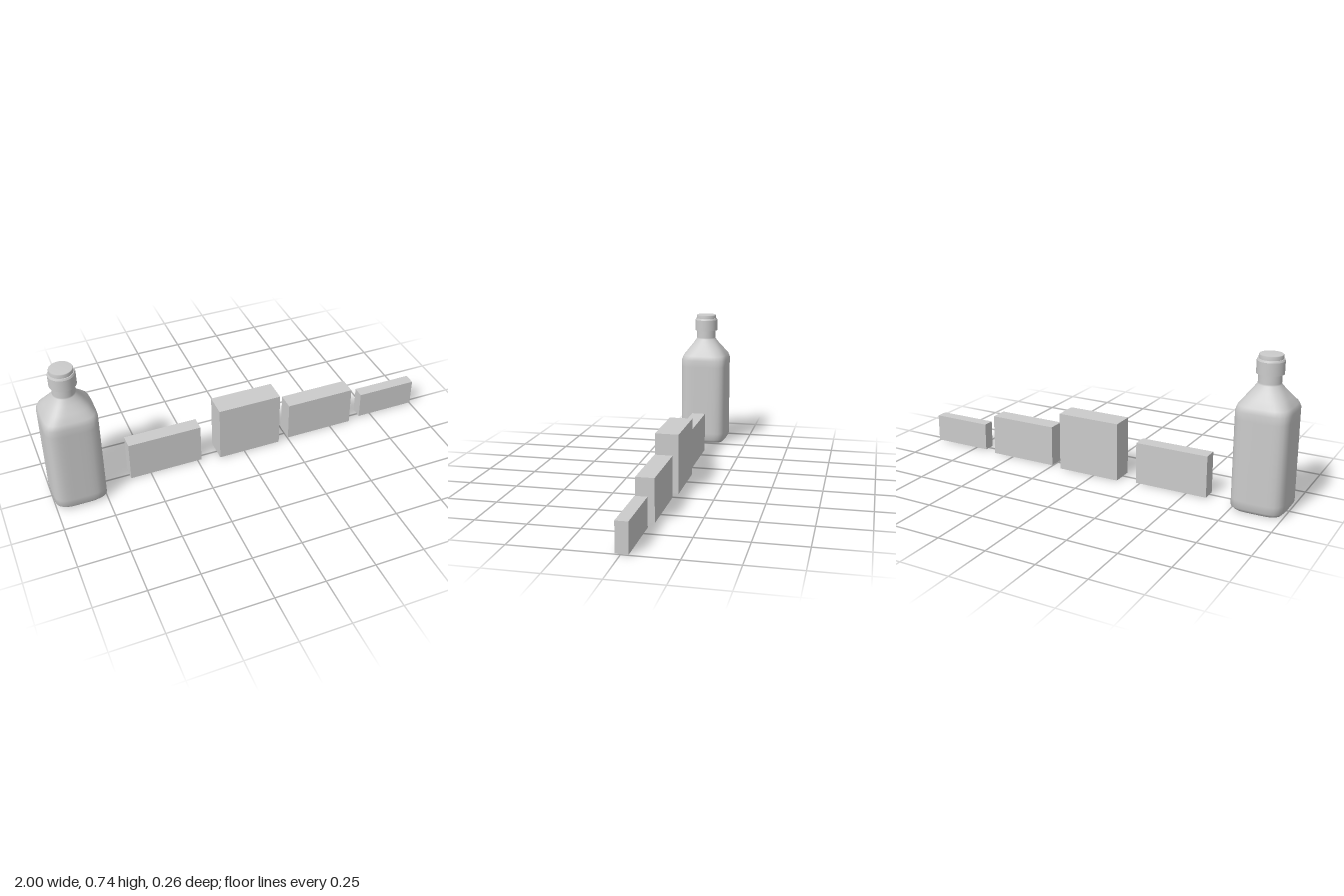
import * as THREE from 'three';

const grey = new THREE.MeshStandardMaterial({ color: 0xcccccc });
const SIDES = 48;

// Lofts rounded-square rings [y, halfWidth, exponent]; exponent 2 is a circle.
function loftRings(rings) {
  const pos = [], index = [];
  for (const [y, r, n] of rings) {
    for (let i = 0; i < SIDES; i++) {
      const a = (i / SIDES) * Math.PI * 2;
      const c = Math.cos(a), s = Math.sin(a);
      const d = r / Math.pow(Math.abs(c) ** n + Math.abs(s) ** n, 1 / n);
      pos.push(d * c, y, d * s);
    }
  }
  for (let k = 0; k < rings.length - 1; k++) {
    for (let i = 0; i < SIDES; i++) {
      const a = k * SIDES + i, b = k * SIDES + ((i + 1) % SIDES);
      index.push(a, a + SIDES, b, b, a + SIDES, b + SIDES);
    }
  }
  // Closed underside
  const centre = pos.length / 3;
  pos.push(0, rings[0][0], 0);
  for (let i = 0; i < SIDES; i++) index.push(centre, i, (i + 1) % SIDES);

  const g = new THREE.BufferGeometry();
  g.setAttribute('position', new THREE.Float32BufferAttribute(pos, 3));
  g.setIndex(index);
  g.computeVertexNormals();
  return g;
}

function lathe(points) {
  return new THREE.LatheGeometry(points.map(([r, y]) => new THREE.Vector2(r, y)), 40);
}

function addMesh(parent, name, geometry) {
  const m = new THREE.Mesh(geometry, grey);
  m.name = name;
  parent.add(m);
  return m;
}

function createBottle() {
  const bottle = new THREE.Group();
  bottle.name = 'bottle';

  // Square body with soft corners, narrowing to a round neck
  addMesh(bottle, 'bottleBody', loftRings([
    [0.004, 0.114, 4.6],
    [0.023, 0.13, 4.8],
    [0.06, 0.13, 4.8],
    [0.25, 0.13, 4.8],
    [0.45, 0.13, 4.8],
    [0.487, 0.13, 4.8],
    [0.512, 0.122, 4.2],
    [0.545, 0.097, 3.2],
    [0.575, 0.074, 2.5],
    [0.602, 0.055, 2],
    [0.61, 0.054, 2],
    [0.66, 0.054, 2],
  ]));

  // Cap collar, with sharp lower edge and a small bevel on top
  addMesh(bottle, 'capCollar', lathe([
    [0.05, 0.651], [0.064, 0.651], [0.064, 0.651], [0.064, 0.711],
    [0.064, 0.711], [0.06, 0.72], [0.06, 0.72], [0.05, 0.72],
  ]));

  // Stopper on top of the collar
  addMesh(bottle, 'capTop', lathe([
    [0.056, 0.715], [0.056, 0.737], [0.053, 0.74], [0, 0.74],
  ]));

  bottle.position.x = -0.871;
  return bottle;
}

// Cartons: x range, y range, z range
const CARTONS = [
  [-0.604, -0.229, 0.002, 0.213, -0.045, 0.028],
  [-0.134, 0.195, 0.002, 0.3, -0.067, 0.051],
  [0.254, 0.615, 0.002, 0.211, -0.05, 0.039],
  [0.684, 1, 0.005, 0.147, -0.035, 0.024],
];

export function createModel() {
  const model = new THREE.Group();
  model.name = 'bottleAndCartons';
  model.add(createBottle());

  CARTONS.forEach(([x0, x1, y0, y1, z0, z1], i) => {
    const box = addMesh(model, `carton${i + 1}`, new THREE.BoxGeometry(x1 - x0, y1 - y0, z1 - z0));
    box.position.set((x0 + x1) / 2, (y0 + y1) / 2, (z0 + z1) / 2);
  });
  return model;
}
